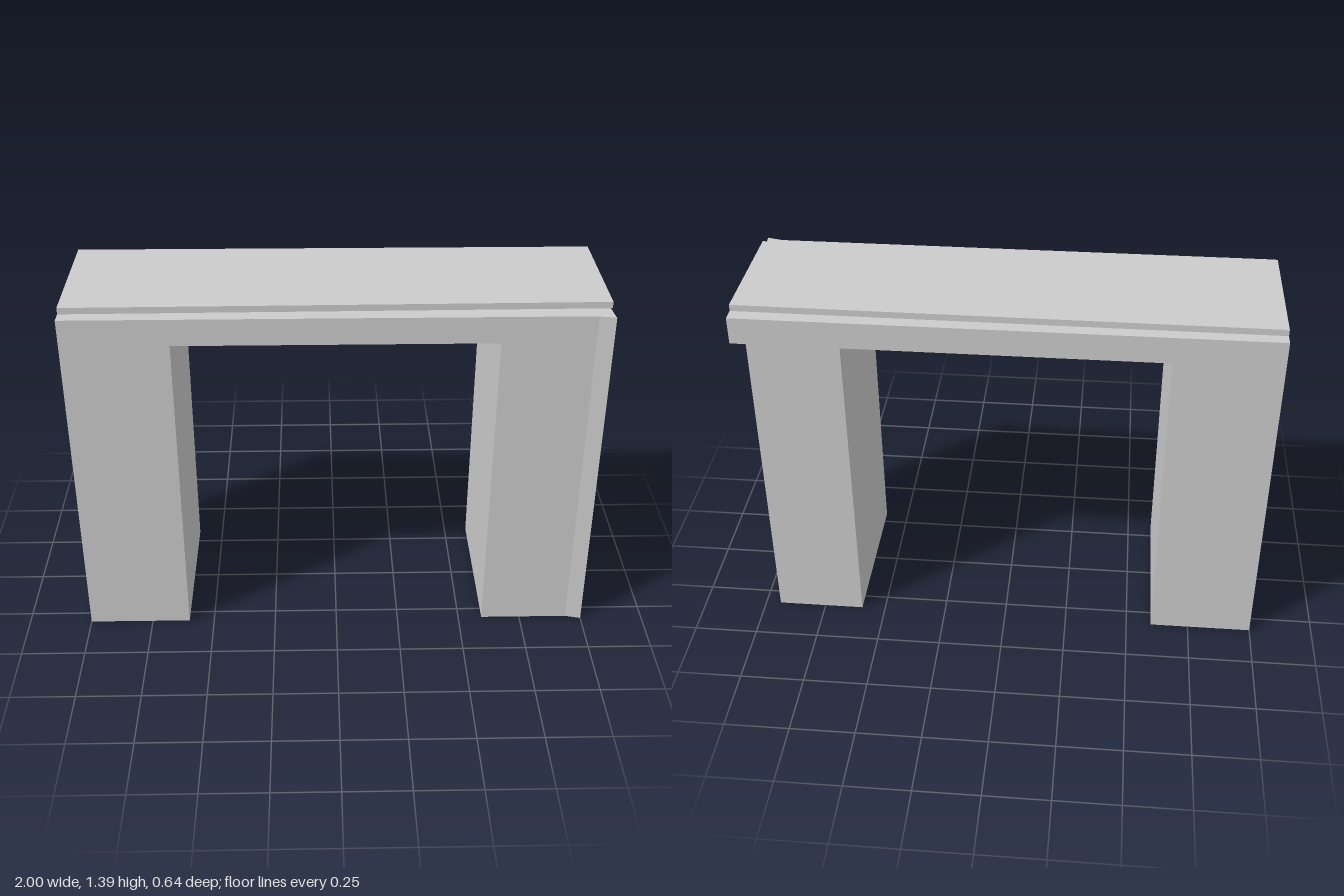
import * as THREE from 'three';

const material = new THREE.MeshStandardMaterial({ color: 0xcccccc, flatShading: true });

// Upright prism over a footprint of [x, z] corners, from height y0 to y1
function prism(name, footprint, y0, y1) {
  const shape = new THREE.Shape(footprint.map(([x, z]) => new THREE.Vector2(x, -z)));
  const geometry = new THREE.ExtrudeGeometry(shape, { depth: y1 - y0, bevelEnabled: false });
  geometry.rotateX(-Math.PI / 2).translate(0, y0, 0);
  const mesh = new THREE.Mesh(geometry, material);
  mesh.name = name;
  return mesh;
}

export function createModel() {
  const group = new THREE.Group();
  group.name = 'gateway';

  const back = -0.32, front = 0.305;
  const underside = 1.26, ledge = 1.365, top = 1.39;

  // Plain leg
  group.add(prism('rightLeg',
    [[-1, back], [-0.6, back], [-0.6, front], [-1, front]], 0, underside));

  // Leg with a skewed outer face and a flared front corner
  group.add(prism('leftLeg',
    [[0.595, back], [0.94, back], [1, 0.32], [0.94, front], [0.595, front]], 0, underside));

  // Lintel, overhanging the skewed leg at the back
  group.add(prism('lintel',
    [[-1, back], [1, back], [1, 0.05], [0.993, 0.24], [1, 0.32], [0.94, front], [-1, front]],
    underside, ledge));

  // Raised slab, running slightly askew along the lintel
  group.add(prism('topSlab',
    [[-1, -0.273], [1, -0.267], [1, 0.24], [-1, 0.253]], ledge, top));

  return group;
}
